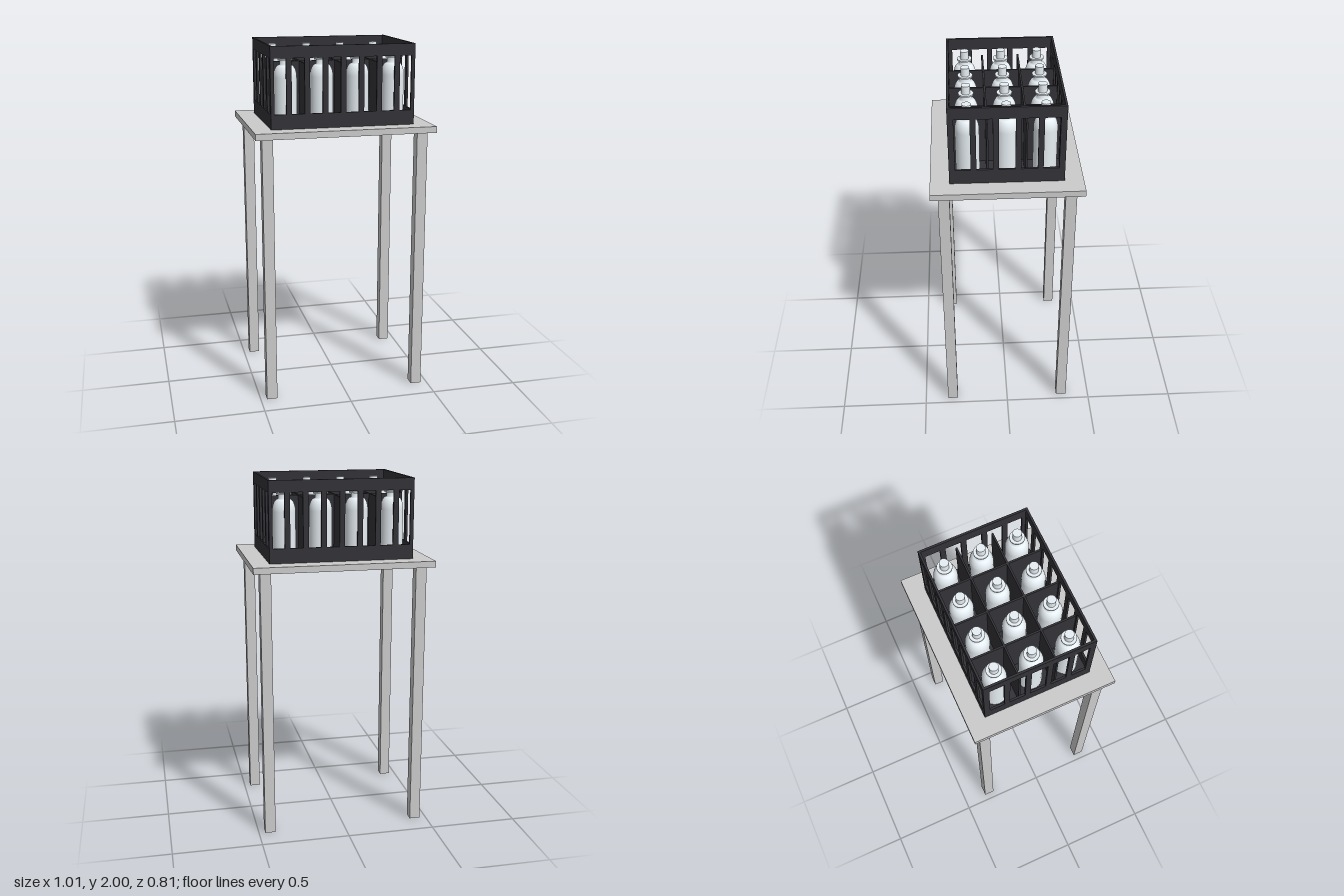
import * as THREE from 'three';

export function createModel() {
  const model = new THREE.Group();
  const grey = new THREE.MeshStandardMaterial({ color: 0xcccccc });
  const dark = new THREE.MeshStandardMaterial({ color: 0x333338 });
  const pale = new THREE.MeshStandardMaterial({ color: 0xe8f0f5 });

  const add = (parent, name, geometry, material, x = 0, y = 0, z = 0) => {
    const mesh = new THREE.Mesh(geometry, material);
    mesh.name = name;
    mesh.position.set(x, y, z);
    parent.add(mesh);
    return mesh;
  };
  const box = (parent, name, material, w, h, d, x, y, z) =>
    add(parent, name, new THREE.BoxGeometry(w, h, d), material, x, y, z);

  // Table: top and four square legs
  const table = new THREE.Group();
  table.name = 'table';
  model.add(table);
  box(table, 'tableTop', grey, 1.008, 0.035, 0.808, 0, 1.5375, 0);
  for (const sx of [-1, 1]) for (const sz of [-1, 1])
    box(table, 'tableLeg', grey, 0.06, 1.52, 0.06, sx * 0.434, 0.76, sz * 0.334);

  // Crate: floor, slatted walls and cell dividers
  const crate = new THREE.Group();
  crate.name = 'crate';
  model.add(crate);
  const base = 1.555, halfX = 0.402, halfZ = 0.302, wall = 0.012;
  box(crate, 'crateFloor', dark, 2 * halfX - 0.02, 0.012, 2 * halfZ - 0.02, 0, base + 0.006, 0);

  const wallGeometry = (width, windows) => {
    const h = width / 2, pitch = width / windows;
    const shape = new THREE.Shape([[-h, base], [h, base], [h, 2], [-h, 2]]
      .map(p => new THREE.Vector2(...p)));
    for (let i = 0; i < windows; i++) {
      const a = -h + i * pitch + (i === 0 ? 0.02 : 0.015);
      const b = -h + (i + 1) * pitch - (i === windows - 1 ? 0.02 : 0.015);
      shape.holes.push(new THREE.Path([[a, 1.636], [a, 1.935], [b, 1.935], [b, 1.636]]
        .map(p => new THREE.Vector2(...p))));
    }
    return new THREE.ExtrudeGeometry(shape, { depth: wall, bevelEnabled: false });
  };
  const longWall = wallGeometry(2 * halfX, 8);
  const shortWall = wallGeometry(2 * (halfZ - wall), 5);
  for (const s of [-1, 1]) {
    const turn = s > 0 ? 0 : Math.PI;
    add(crate, s > 0 ? 'frontWall' : 'backWall', longWall, dark, 0, 0, s * (halfZ - wall)).rotation.y = turn;
    add(crate, s > 0 ? 'leftWall' : 'rightWall', shortWall, dark, s * (halfX - wall), 0, 0).rotation.y = s * Math.PI / 2;
  }
  const dividerH = 1.9 - base - 0.012, dividerY = 1.9 - dividerH / 2;
  for (const x of [-0.2015, 0, 0.2015])
    box(crate, 'crossDivider', dark, 0.01, dividerH, 2 * (halfZ - wall), x, dividerY, 0);
  for (const z of [-0.101, 0.101])
    box(crate, 'longDivider', dark, 2 * (halfX - wall), dividerH, 0.01, 0, dividerY, z);

  // Bottles: smooth body with rounded shoulder, neck, collar and cap
  const floor = base + 0.012;
  const profile = [[0, floor], [0.0635, floor], [0.0635, floor], [0.0635, 1.825]];
  for (let i = 1; i <= 6; i++) {
    const t = (i / 6) * 1.2;
    profile.push([0.0275 + 0.036 * Math.cos(t), 1.825 + 0.068 * Math.sin(t)]);
  }
  profile.push([0.03, 1.893], [0.03, 1.92]);
  const body = new THREE.LatheGeometry(profile.map(p => new THREE.Vector2(...p)), 32);
  const collar = new THREE.CylinderGeometry(0.0405, 0.0405, 0.008, 32);
  const cap = new THREE.CylinderGeometry(0.024, 0.024, 0.048, 32);
  for (let row = 0; row < 3; row++) for (let col = 0; col < 4; col++) {
    const bottle = new THREE.Group();
    bottle.name = 'bottle';
    bottle.position.set((col - 1.5) * 0.2025, 0, (row - 1) * 0.2025);
    add(bottle, 'bottleBody', body, pale);
    add(bottle, 'bottleCollar', collar, pale, 0, 1.92, 0);
    add(bottle, 'bottleCap', cap, pale, 0, 1.946, 0);
    model.add(bottle);
  }
  return model;
}
